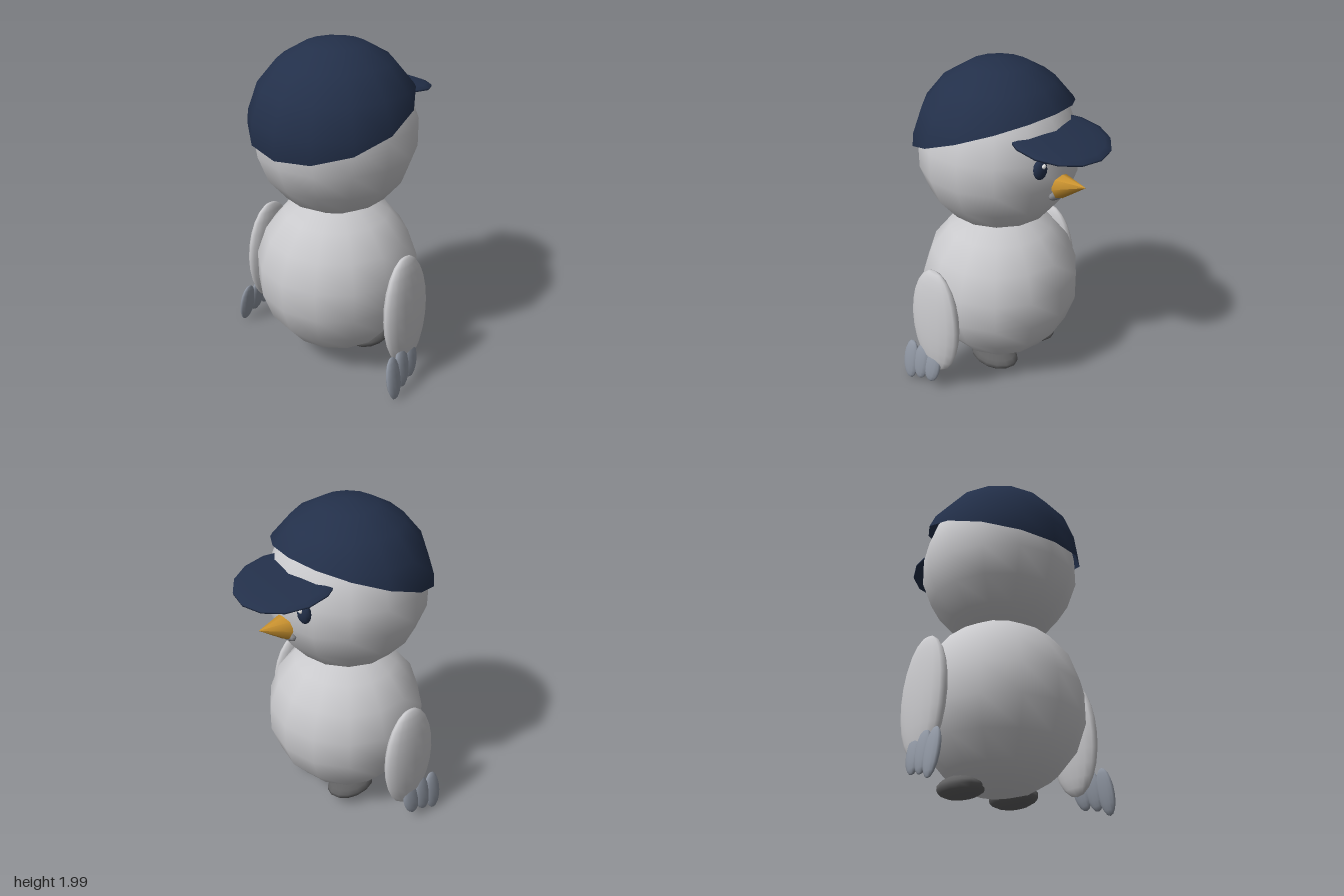
import * as THREE from 'three';

const mat = (name, color, side = THREE.FrontSide) => {
  const m = new THREE.MeshStandardMaterial({ color, side });
  m.name = name;
  return m;
};

export function createModel() {
  const group = new THREE.Group();
  const plumage = mat('pale plumage', 0xc9c9cc);
  const navy = mat('navy', 0x23304a, THREE.DoubleSide);
  const slate = mat('slate tips', 0x8f96a2);
  const footGrey = mat('foot grey', 0x606061);
  const mouthGrey = mat('mouth grey', 0x85868a);
  const amber = mat('amber beak', 0xcc9430);
  const white = mat('white', 0xf0f0f0);

  // Low-sided sphere with a column of vertices on the z axis
  const ball = (w = 14, h = 9, thetaLength = Math.PI) =>
    new THREE.SphereGeometry(1, w, h, 0, Math.PI * 2, 0, thetaLength).rotateY(Math.PI / 2);

  const add = (name, geometry, material, pos, rot = [0, 0, 0], parent = group) => {
    const mesh = new THREE.Mesh(geometry, material);
    mesh.name = name;
    mesh.position.set(...pos);
    mesh.rotation.set(...rot);
    parent.add(mesh);
    return mesh;
  };
  const blob = (name, material, pos, radii, rot, w, h, parent) => {
    const mesh = add(name, ball(w, h), material, pos, rot, parent);
    mesh.scale.set(...radii);
    return mesh;
  };

  // Torso and head
  blob('body', plumage, [0, 0.57, 0.107], [0.498, 0.515, 0.49]);
  blob('head', plumage, [0, 1.46, 0.11], [0.475, 0.475, 0.475]);

  // Cap dome: each column stops where it meets a slanted rim plane
  const dome = ball(14, 6, Math.PI * 2 / 3);
  const p = dome.attributes.position;
  const normalZ = 0.35, normalY = 0.937, offset = 0.234;
  for (let i = 0; i < p.count; i++) {
    const theta = Math.acos(THREE.MathUtils.clamp(p.getY(i), -1, 1));
    if (theta < 0.01) continue;
    const dx = p.getX(i) / Math.sin(theta), dz = p.getZ(i) / Math.sin(theta);
    const a = normalZ * dz;
    const limit = Math.atan2(a, normalY) + Math.acos(offset / Math.hypot(a, normalY));
    const t = Math.min(theta, limit);
    p.setXYZ(i, dx * Math.sin(t), Math.cos(t), dz * Math.sin(t));
    dome.attributes.normal.setXYZ(i, p.getX(i), p.getY(i), p.getZ(i));
  }
  dome.scale(0.5, 0.5, 0.5);
  add('capDome', dome, navy, [0, 1.5, 0.11]);
  blob('capBrim', navy, [0, 1.65, -0.33], [0.293, 0.03, 0.29], [-0.155, 0, 0]);

  // Beak, pointing forward and slightly up, with the mouth below
  const beak = new THREE.ConeGeometry(0.077, 0.18, 8);
  add('beak', beak, amber, [0, 1.389, -0.433], [-Math.PI / 2 + 0.24, 0, 0]);
  blob('mouth', mouthGrey, [0, 1.315, -0.335], [0.08, 0.032, 0.03], [0, 0, 0], 12, 8);

  // Paired parts
  for (const s of [1, -1]) {
    const side = s > 0 ? 'left' : 'right';
    blob(side + 'Eye', navy, [s * 0.165, 1.522, -0.335], [0.042, 0.06, 0.027],
      [0, -s * 0.35, 0], 12, 8);
    blob(side + 'EyeGlint', white, [s * 0.163, 1.547, -0.359], [0.014, 0.014, 0.012],
      [0, 0, 0], 8, 6);

    const flipper = new THREE.Group();
    flipper.name = side + 'Flipper';
    group.add(flipper);
    blob('flipper', plumage, [s * 0.548, 0.495, 0.14], [0.064, 0.355, 0.19],
      [0, 0, s * 0.045], 16, 12, flipper);
    // Three feather tips fanning backwards
    [[0.61, 0.145, 0.32, 0.138], [0.603, 0.17, 0.232, 0.127], [0.596, 0.175, 0.142, 0.115]]
      .forEach(([x, y, z, h], i) => {
        blob('featherTip' + (i + 1), slate, [s * x, y, z], [0.025, h, 0.062],
          [-0.03 - i * 0.07, 0, s * 0.17], 12, 9, flipper);
      });

    blob(side + 'Foot', footGrey, [s * 0.185, 0.103, 0], [0.12, 0.062, 0.17],
      [0, 0, 0], 14, 9);
  }
  return group;
}
